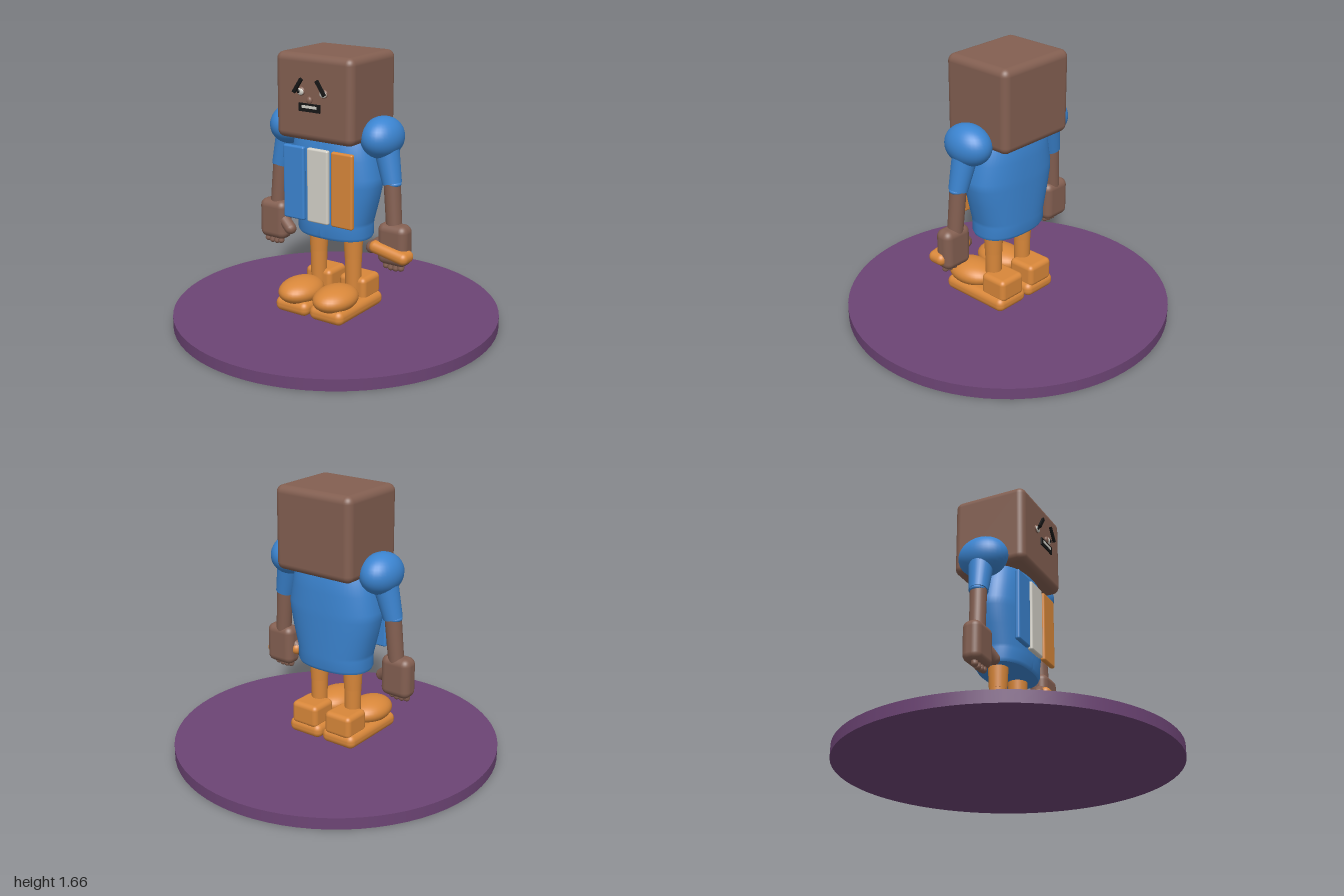
import * as THREE from 'three';
import { RoundedBoxGeometry } from 'three/addons/geometries/RoundedBoxGeometry.js';

const paint = (name, color) => {
  const m = new THREE.MeshStandardMaterial({ color });
  m.name = name;
  return m;
};

export function createModel() {
  const blue = paint('blue', 0x3b84d0);
  const brown = paint('brown', 0x835f51);
  const orange = paint('orange', 0xd8873a);
  const purple = paint('purple', 0x6c4474);
  const white = paint('offWhite', 0xd3d0c7);
  const black = paint('black', 0x161616);

  const model = new THREE.Group();
  model.name = 'figure';

  const add = (name, geo, mat, x, y, z, parent = model) => {
    const m = new THREE.Mesh(geo, mat);
    m.name = name;
    m.position.set(x, y, z);
    parent.add(m);
    return m;
  };
  const box = (w, h, d, r) => new RoundedBoxGeometry(w, h, d, 4, r);
  const ball = (rx, ry, rz) => new THREE.SphereGeometry(1, 32, 20).scale(rx, ry, rz);
  // Tapered round limb from point a to point b
  const limb = (name, a, b, ra, rb, mat, parent) => {
    const p = new THREE.Vector3(...a), q = new THREE.Vector3(...b);
    const dir = q.clone().sub(p);
    const mid = p.clone().add(q).multiplyScalar(0.5);
    const m = add(name, new THREE.CylinderGeometry(rb, ra, dir.length(), 28), mat, mid.x, mid.y, mid.z, parent);
    m.quaternion.setFromUnitVectors(new THREE.Vector3(0, 1, 0), dir.normalize());
    return m;
  };
  const capsule = (name, a, b, r, mat, parent) => {
    const p = new THREE.Vector3(...a), q = new THREE.Vector3(...b);
    const dir = q.clone().sub(p);
    const mid = p.clone().add(q).multiplyScalar(0.5);
    const m = add(name, new THREE.CapsuleGeometry(r, dir.length(), 6, 16), mat, mid.x, mid.y, mid.z, parent);
    m.quaternion.setFromUnitVectors(new THREE.Vector3(0, 1, 0), dir.normalize());
  };

  // Round stand
  add('stand', new THREE.CylinderGeometry(1, 1, 0.07, 72), purple, 0, 0.035, 0);

  // Torso: a cylinder reshaped to soft oval sections [y, half width, half depth]
  const sections = [
    [0.555, 0.235, 0.15], [0.575, 0.243, 0.163], [0.64, 0.243, 0.165], [0.66, 0.246, 0.167],
    [0.78, 0.28, 0.17], [0.89, 0.306, 0.172], [0.94, 0.308, 0.172], [1.05, 0.286, 0.168],
    [1.17, 0.262, 0.16], [1.21, 0.22, 0.13],
  ];
  const rows = sections.length - 1;
  const torso = new THREE.CylinderGeometry(1, 1, 1, 56, rows);
  const pos = torso.attributes.position;
  const soften = (v) => Math.sign(v) * Math.pow(Math.abs(v), 0.85);
  for (let i = 0; i < pos.count; i++) {
    const [y, rx, rz] = sections[Math.round((pos.getY(i) + 0.5) * rows)];
    pos.setXYZ(i, soften(pos.getX(i)) * rx, y, soften(pos.getZ(i)) * rz);
  }
  torso.computeVertexNormals();
  add('torso', torso, blue, 0, 0, 0);

  // Chest panels
  [[-0.172, blue, 'rightPanel'], [0, white, 'middlePanel'], [0.172, orange, 'leftPanel']].forEach(
    ([x, mat, name]) => add(name, box(0.15, 0.45, 0.032, 0.012), mat, x, 0.885, 0.18));

  // Head
  add('head', box(0.54, 0.505, 0.47, 0.045), brown, 0, 1.4125, 0);

  // Face
  const face = new THREE.Group();
  face.name = 'face';
  model.add(face);
  add('nose', ball(0.018, 0.022, 0.014), brown, 0, 1.41, 0.262, face);
  add('mouth', new THREE.BoxGeometry(0.148, 0.048, 0.008), black, 0, 1.367, 0.262, face);
  add('teeth', new THREE.BoxGeometry(0.104, 0.016, 0.006), white, 0, 1.372, 0.266, face);

  for (const s of [-1, 1]) {
    const side = s > 0 ? 'left' : 'right';

    // Eye and worried brow
    add(side + 'Eyelid', ball(0.029, 0.026, 0.012), brown, s * 0.08, 1.452, 0.236, face);
    add(side + 'Eye', ball(0.025, 0.021, 0.012), white, s * 0.08, 1.45, 0.24, face);
    add(side + 'Pupil', ball(0.011, 0.012, 0.006), black, s * 0.088, 1.452, 0.25, face);
    const brow = add(side + 'Brow', new THREE.BoxGeometry(0.02, 0.098, 0.014), black, s * 0.08, 1.488, 0.268, face);
    brow.rotation.z = s * 0.59;

    // Arm
    const arm = new THREE.Group();
    arm.name = side + 'Arm';
    model.add(arm);
    add('shoulder', ball(0.117, 0.123, 0.155), blue, s * 0.327, 1.191, 0, arm);
    limb('upperArm', [s * 0.352, 1.14, 0], [s * 0.403, 0.93, 0.012], 0.076, 0.057, blue, arm);
    add('sleeveEnd', ball(0.057, 0.025, 0.05), blue, s * 0.403, 0.932, 0.012, arm);
    limb('forearm', [s * 0.403, 0.94, 0.012], [s * 0.427, 0.66, 0.02], 0.05, 0.047, brown, arm);

    // Hand with fingers and thumb
    add('palm', box(0.195, 0.25, 0.116, 0.045), brown, s * 0.437, 0.574, 0.028, arm);
    [0.39, 0.422, 0.456, 0.49].forEach((x, i) => {
      const low = i === 0 || i === 3 ? 0.438 : 0.432;
      capsule('finger', [s * x, 0.48, 0.035], [s * x, low, 0.042], 0.02, brown, arm);
    });
    capsule('thumb', [s * 0.37, 0.585, 0.04], [s * 0.302, 0.537, 0.06], 0.037, brown, arm);

    // Leg
    const leg = new THREE.Group();
    leg.name = side + 'Leg';
    model.add(leg);
    limb('upperLeg', [s * 0.127, 0.6, 0], [s * 0.128, 0.42, 0], 0.062, 0.053, orange, leg);
    limb('lowerLeg', [s * 0.128, 0.43, 0], [s * 0.128, 0.2, 0], 0.052, 0.048, orange, leg);

    // Boot
    add('sole', box(0.238, 0.09, 0.475, 0.04), orange, s * 0.126, 0.135, 0.07, leg);
    add('heel', box(0.19, 0.145, 0.185, 0.03), orange, s * 0.126, 0.225, -0.073, leg);
    add('toeCap', ball(0.124, 0.077, 0.165), orange, s * 0.127, 0.215, 0.185, leg);
  }

  // Bar held in the left hand
  const bar = add('heldBar', box(0.262, 0.075, 0.12, 0.036), orange, 0.434, 0.535, 0.062);
  bar.rotation.z = -0.19;

  return model;
}
